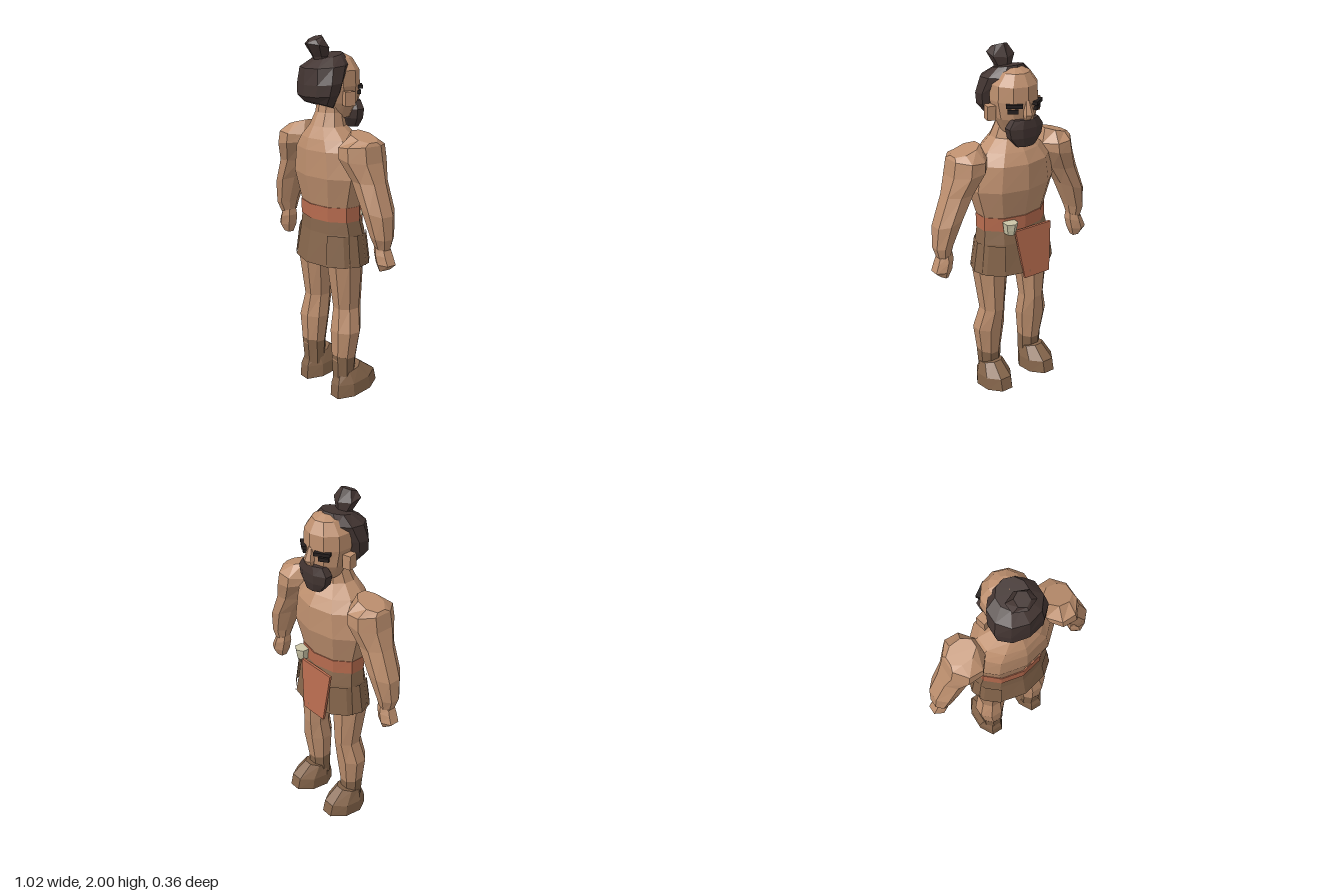
import * as THREE from 'three';

const mat = (name, color) => {
  const m = new THREE.MeshStandardMaterial({ color, flatShading: true, side: THREE.DoubleSide });
  m.name = name;
  return m;
};

// Loft through rings [cx, cy, cz, ux, uz, uy = slope along x, tilt = slope along z], bottom to top
function loft(rings, n = 8) {
  const pos = [], idx = [], k = 1 / Math.cos(Math.PI / n);
  for (const [cx, cy, cz, ux, uz, uy = 0, tilt = 0] of rings) {
    for (let i = 0; i < n; i++) {
      const a = ((i + 0.5) / n) * Math.PI * 2, c = Math.cos(a) * k, s = Math.sin(a) * k;
      pos.push(cx + ux * c, cy + uy * c + tilt * s, cz + uz * s);
    }
  }
  for (let r = 0; r < rings.length - 1; r++) {
    for (let i = 0; i < n; i++) {
      const a = r * n + i, b = r * n + ((i + 1) % n);
      idx.push(a, a + n, b, b, a + n, b + n);
    }
  }
  const t = (rings.length - 1) * n;
  for (let i = 1; i < n - 1; i++) idx.push(0, i, i + 1, t, t + i + 1, t + i);
  const g = new THREE.BufferGeometry();
  g.setAttribute('position', new THREE.Float32BufferAttribute(pos, 3));
  g.setIndex(idx);
  const flat = g.toNonIndexed();
  flat.computeVertexNormals();
  return flat;
}

// Mirror rings across x
const side = (rings, s) => rings.map(([x, y, z, ux, uz, uy = 0, t = 0]) => [x * s, y, z, ux, uz, uy * s, t]);

// Ring of a right arm, given its outer and inner points seen along z
const span = (x0, y0, x1, y1, z, uz) => [(x0 + x1) / 2, (y0 + y1) / 2, z, (x1 - x0) / 2, uz, (y1 - y0) / 2];

export function createModel() {
  const group = new THREE.Group();
  const skin = mat('skin', 0xbd8f6e), leather = mat('leather', 0x85654b), cloth = mat('red cloth', 0xb86c4f);
  const hairMat = mat('dark hair', 0x433532), black = mat('black', 0x241e1d), bone = mat('bone', 0xccc6a8);
  const add = (name, geo, m, x = 0, y = 0, z = 0, ry = 0) => {
    const mesh = new THREE.Mesh(geo, m);
    mesh.name = name;
    mesh.position.set(x, y, z);
    mesh.rotation.y = ry;
    group.add(mesh);
    return mesh;
  };

  // Body
  add('torso', loft([
    [0, 1.1, 0.01, 0.195, 0.125], [0, 1.27, 0.008, 0.245, 0.16], [0, 1.41, 0.01, 0.22, 0.155],
    [0, 1.47, 0.02, 0.17, 0.13], [0, 1.53, 0.03, 0.1, 0.09], [0, 1.6, 0.02, 0.075, 0.07], [0, 1.66, 0.01, 0.07, 0.07],
  ], 10), skin);
  add('belt', loft([[0, 1.03, 0.01, 0.2, 0.13], [0, 1.11, 0.01, 0.2, 0.132]], 10), cloth);
  add('skirt', loft([
    [0, 0.785, 0, 0.235, 0.168], [0, 0.96, 0, 0.212, 0.14], [0, 1.035, 0.008, 0.198, 0.128],
  ], 10), leather);

  // Head
  add('head', loft([
    [0, 1.57, -0.03, 0.07, 0.07], [0, 1.65, -0.03, 0.11, 0.1], [0, 1.74, -0.02, 0.125, 0.122],
    [0, 1.82, -0.02, 0.12, 0.118], [0, 1.88, -0.03, 0.075, 0.075], [0, 1.9, -0.03, 0.035, 0.035],
  ], 10), skin);
  add('hair', loft([
    [0, 1.64, 0.09, 0.1, 0.06, 0, 0.02], [0, 1.7, 0.09, 0.14, 0.09, 0, -0.01],
    [0, 1.76, 0.08, 0.15, 0.098, 0, -0.01], [0, 1.845, 0.053, 0.133, 0.118, 0, -0.01],
    [0, 1.895, 0.03, 0.078, 0.075, 0, -0.015],
  ], 10), hairMat);
  add('topKnot', loft([
    [0, 1.86, 0.06, 0.055, 0.045], [0, 1.89, 0.08, 0.042, 0.036], [0, 1.945, 0.1, 0.066, 0.055, 0, 0.012],
    [0, 1.985, 0.11, 0.035, 0.034, 0, -0.012],
  ], 6), hairMat);
  add('beard', loft([
    [0, 1.51, -0.12, 0.055, 0.03], [0, 1.56, -0.112, 0.095, 0.048], [0, 1.61, -0.11, 0.105, 0.052],
    [0, 1.655, -0.115, 0.075, 0.04],
  ]), hairMat);
  add('nose', loft([
    [0, 1.655, -0.15, 0.024, 0.012], [0, 1.68, -0.152, 0.026, 0.024], [0, 1.75, -0.138, 0.012, 0.012],
  ], 6), skin);

  // Right arm rings, hand first
  const hand = [
    span(-0.475, 0.835, -0.43, 0.818, -0.005, 0.028), span(-0.508, 0.866, -0.41, 0.87, -0.005, 0.046),
    span(-0.49, 0.91, -0.397, 0.93, -0.002, 0.046), span(-0.476, 0.944, -0.4, 0.965, 0, 0.04),
  ];
  const arm = [
    span(-0.476, 0.94, -0.4, 0.965, 0, 0.042), span(-0.492, 1.0, -0.386, 1.02, 0.005, 0.062),
    span(-0.482, 1.12, -0.317, 1.18, 0.005, 0.085), span(-0.42, 1.28, -0.25, 1.29, 0.008, 0.09),
    span(-0.385, 1.38, -0.18, 1.41, 0.015, 0.125), span(-0.37, 1.465, -0.18, 1.45, 0.015, 0.12),
    span(-0.36, 1.475, -0.22, 1.5, 0.01, 0.06),
  ];
  arm[6] = [-0.285, 1.505, 0.01, 0.075, 0.06, 0.022];
  const leg = [
    [-0.145, 0.22, 0.027, 0.063, 0.062], [-0.15, 0.4, 0.018, 0.085, 0.078],
    [-0.137, 0.53, 0, 0.066, 0.074], [-0.137, 0.81, 0.015, 0.098, 0.095],
  ];
  const boot = [[-0.142, 0.1, 0.025, 0.06, 0.055], [-0.146, 0.25, 0.027, 0.066, 0.064]];
  const foot = [
    [-0.152, 0.025, -0.038, 0.083, 0.136, 0, -0.025], [-0.152, 0.1, -0.032, 0.082, 0.125, 0, -0.022],
    [-0.148, 0.165, 0.002, 0.06, 0.07, 0, -0.022],
  ];

  for (const s of [1, -1]) {
    const n = s === 1 ? 'right' : 'left';
    add(n + 'Arm', loft(side(arm, s)), skin);
    add(n + 'Hand', loft(side(hand, s), 6), skin);
    add(n + 'Leg', loft(side(leg, s)), skin);
    add(n + 'Boot', loft(side(boot, s)), leather);
    add(n + 'Foot', loft(side(foot, s)), leather);
    add(n + 'Ear', new THREE.BoxGeometry(0.045, 0.075, 0.055), skin, -s * 0.138, 1.68, -0.005, s * 0.25);
    add(n + 'Brow', new THREE.BoxGeometry(0.085, 0.018, 0.025), black, -s * 0.073, 1.73, -0.127, s * 0.6);
    add(n + 'Eye', new THREE.BoxGeometry(0.055, 0.02, 0.02), black, -s * 0.075, 1.7, -0.119, s * 0.6);
    // Hanging skirt panel wrapped round the hip
    const panel = new THREE.CylinderGeometry(0.226, 0.252, 0.17, 4, 1, true, -s * Math.PI / 2 - 0.95, 1.9);
    panel.scale(1, 1, 0.72);
    add(n + 'SkirtPanel', panel, leather, 0, 0.872, 0);
  }

  // Cloth hanging from the belt, thickened toward the body
  const shape = new THREE.Shape([[-0.155, 1.04], [-0.13, 0.755], [0.035, 0.755], [0.08, 1.04]]
    .map(([x, y]) => new THREE.Vector2(x, y)));
  const flap = new THREE.ExtrudeGeometry(shape, { depth: 0.014, bevelEnabled: false });
  const p = flap.attributes.position;
  for (let i = 0; i < p.count; i++) p.setZ(i, p.getZ(i) - 0.15 - 0.1 * (1.04 - p.getY(i)));
  flap.computeVertexNormals();
  add('hangingCloth', flap, cloth);

  // Bone toggle on the belt
  add('toggle', loft([
    [0.1, 1.03, -0.125, 0.026, 0.03], [0.1, 1.06, -0.128, 0.03, 0.034], [0.1, 1.095, -0.13, 0.036, 0.036],
  ], 6), bone);

  return group;
}
